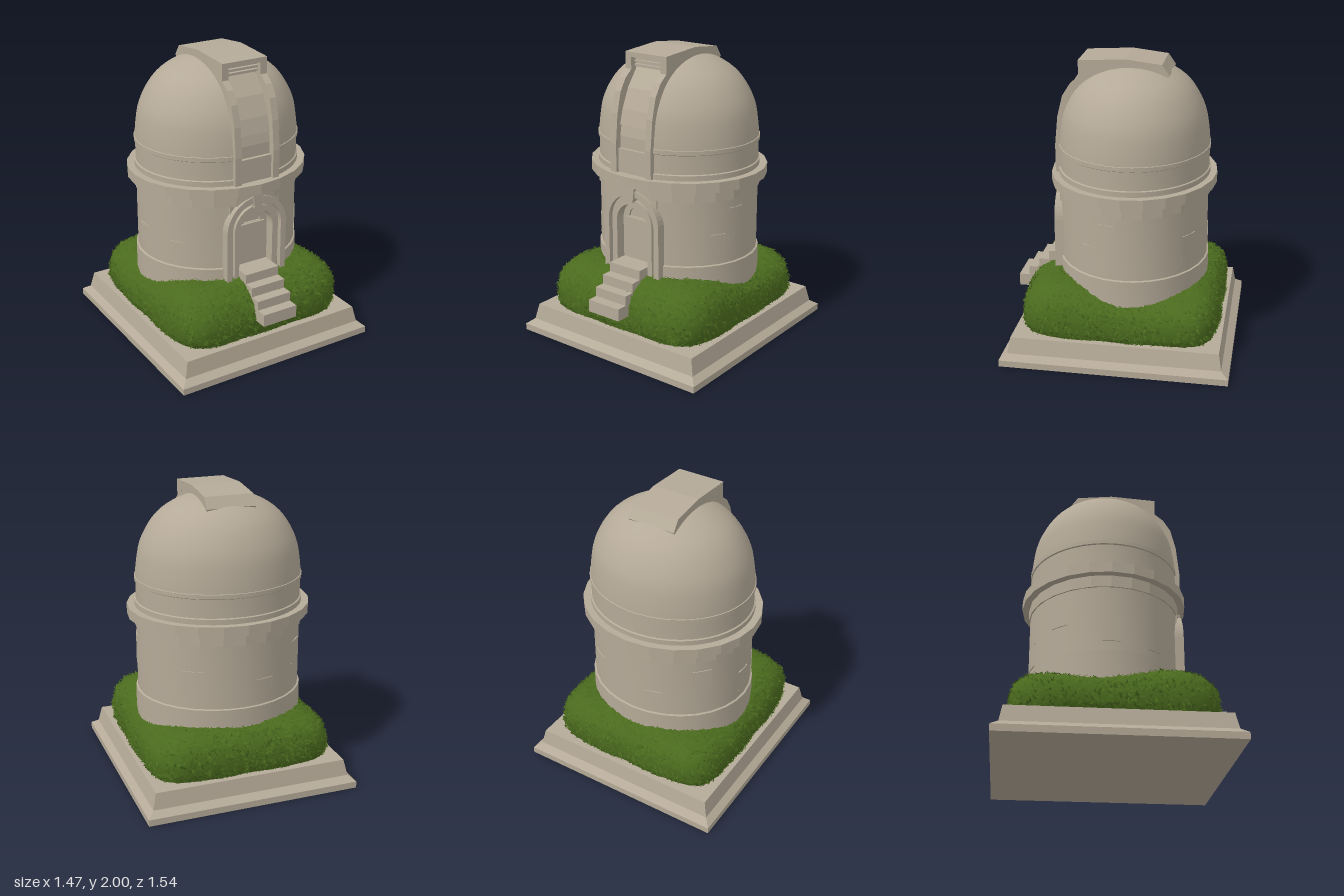
import * as THREE from 'three';
import { toCreasedNormals } from 'three/addons/utils/BufferGeometryUtils.js';

const stone = new THREE.MeshStandardMaterial({ color: 0xb5aa98, side: THREE.DoubleSide });
stone.name = 'stone';
const grass = new THREE.MeshStandardMaterial({ color: 0x4b6b1e, side: THREE.DoubleSide });
grass.name = 'grass';

function add(parent, name, geometry, material = stone) {
  const mesh = new THREE.Mesh(geometry, material);
  mesh.name = name;
  parent.add(mesh);
  return mesh;
}

function box(parent, name, x0, x1, y0, y1, z0, z1) {
  const g = new THREE.BoxGeometry(x1 - x0, y1 - y0, z1 - z0);
  g.translate((x0 + x1) / 2, (y0 + y1) / 2, (z0 + z1) / 2);
  return add(parent, name, g);
}

// Skin over closed rings of points, listed bottom to top, with both ends capped
function loft(rings, crease) {
  const n = rings[0].length, pos = [], idx = [];
  rings.forEach(r => r.forEach(p => pos.push(p.x, p.y, p.z)));
  for (let i = 0; i < rings.length - 1; i++) {
    for (let j = 0; j < n; j++) {
      const a = i * n + j, b = i * n + (j + 1) % n;
      idx.push(a, b, b + n, a, b + n, a + n);
    }
  }
  const top = (rings.length - 1) * n;
  for (let j = 1; j < n - 1; j++) idx.push(0, j + 1, j, top, top + j, top + j + 1);
  const g = new THREE.BufferGeometry();
  g.setAttribute('position', new THREE.Float32BufferAttribute(pos, 3));
  g.setIndex(idx);
  return toCreasedNormals(g, crease);
}

// Turned wall that leaves a front opening of constant half width
function turned(points, segments, gap = 0, crease = 0.5) {
  const g = new THREE.LatheGeometry(points.map(p => new THREE.Vector2(p[0], p[1])), segments);
  const pos = g.attributes.position, n = points.length;
  for (let k = 0; k < pos.count; k++) {
    const r = points[k % n][0];
    const open = gap ? Math.asin(Math.min(1, gap / Math.max(r, 1e-4))) : 0;
    const phi = open + Math.floor(k / n) / segments * 2 * (Math.PI - open);
    pos.setX(k, r * Math.sin(phi));
    pos.setZ(k, r * Math.cos(phi));
  }
  return toCreasedNormals(g, crease);
}

// Side profile in (z, y), given a width in x
function sideProfile(points, width, x = 0) {
  const shape = new THREE.Shape(points.map(p => new THREE.Vector2(p[0], p[1])));
  const g = new THREE.ExtrudeGeometry(shape, { depth: width, bevelEnabled: false });
  g.rotateY(-Math.PI / 2);
  return g.translate(x + width / 2, 0, 0);
}

function arch(path, w, y0, yc) {
  path.moveTo(-w, y0);
  path.lineTo(w, y0);
  path.lineTo(w, yc);
  path.absarc(0, yc, w, 0, Math.PI, false);
  path.lineTo(-w, y0);
  return path;
}

function archRing(outer, inner, y0, yc, z0, z1) {
  const shape = arch(new THREE.Shape(), outer, y0, yc);
  if (inner) shape.holes.push(arch(new THREE.Path(), inner, y0 + 0.001, yc));
  return new THREE.ExtrudeGeometry(shape, { depth: z1 - z0, bevelEnabled: false, curveSegments: 12 })
    .translate(0, 0, z0);
}

// Mound section: inset from the edge and height
const MOUND = [[0.03, 0.185], [0.01, 0.24], [0.01, 0.34], [0.03, 0.42], [0.075, 0.48], [0.15, 0.525], [0.24, 0.54], [0.36, 0.5]];
function moundPoint(a, t) {
  const i = Math.min(Math.floor(t), MOUND.length - 2), f = t - i;
  const inset = THREE.MathUtils.lerp(MOUND[i][0], MOUND[i + 1][0], f);
  const h = THREE.MathUtils.lerp(MOUND[i][1], MOUND[i + 1][1], f);
  const c = Math.cos(a), s = Math.sin(a);
  const r = Math.pow(c ** 6 + s ** 6, -1 / 6) + 0.008 * Math.sin(a * 11 + t);
  const x = (0.65 - inset) * r * c, z = -(0.68 - inset) * r * s;
  const swell = 0.9 + 0.1 * Math.cos((z - 0.45) * Math.PI / 0.65);
  return new THREE.Vector3(x, 0.185 + (h - 0.185) * swell, z);
}

function leaves(count) {
  let seed = 7;
  const rnd = () => (seed = (seed * 16807) % 2147483647) / 2147483647;
  const pos = [];
  for (let k = 0; k < count; k++) {
    const a = rnd() * Math.PI * 2, t = rnd() * 6.6;
    const p = moundPoint(a, t);
    const u = moundPoint(a + 0.01, t).sub(p).normalize();
    const v = moundPoint(a, t + 0.05).sub(p).normalize();
    const n = u.clone().cross(v).normalize();
    const w = rnd() * Math.PI * 2, size = 0.012 + rnd() * 0.012;
    const along = u.clone().multiplyScalar(Math.cos(w)).addScaledVector(v, Math.sin(w));
    const across = n.clone().cross(along).multiplyScalar(size * 0.45);
    const tip = p.clone().addScaledVector(along, size * 1.5).addScaledVector(n, 0.004 + rnd() * 0.014);
    p.addScaledVector(n, 0.002);
    for (const q of [p.clone().sub(across), tip, p.clone().add(across)].reverse()) {
      pos.push(q.x, Math.max(q.y, 0.19), q.z);
    }
  }
  const g = new THREE.BufferGeometry();
  g.setAttribute('position', new THREE.Float32BufferAttribute(pos, 3));
  g.computeVertexNormals();
  return g;
}

export function createModel() {
  const model = new THREE.Group();
  model.name = 'observatory';

  // Stepped plinth: half width, half depth, height
  const plinth = [[0.735, 0.77, 0], [0.735, 0.77, 0.045], [0.69, 0.72, 0.08], [0.665, 0.7, 0.19]];
  add(model, 'plinth', loft(plinth.map(([x, z, y]) =>
    [[1, 1], [1, -1], [-1, -1], [-1, 1]].map(([sx, sz]) => new THREE.Vector3(sx * x, y, sz * z))), 0.1));

  // Grassy mound with leaf tufts
  const rings = MOUND.map((_, t) => Array.from({ length: 72 }, (_, j) => moundPoint(j / 72 * Math.PI * 2, t)));
  add(model, 'mound', loft(rings, 0.9), grass);
  add(model, 'moundLeaves', leaves(6500), grass);

  // Slightly oval tower
  const tower = new THREE.Group();
  tower.name = 'tower';
  tower.scale.z = 0.9;
  tower.position.z = -0.04;
  model.add(tower);
  add(tower, 'drumWall', turned([[0.575, 0.36], [0.575, 0.615], [0.562, 0.62], [0.562, 1.07]], 28, 0.18));
  add(tower, 'corniceRing', turned([[0.5, 1.06], [0.573, 1.06], [0.573, 1.14], [0.625, 1.14],
    [0.625, 1.21], [0.36, 1.21]], 24, 0, 0.2));
  const curve = new THREE.SplineCurve([[0.564, 1.41], [0.555, 1.5], [0.532, 1.62], [0.48, 1.73], [0.41, 1.82],
    [0.31, 1.89], [0.17, 1.945], [0.001, 1.965]].map(p => new THREE.Vector2(...p)));
  add(tower, 'dome', turned([[0.572, 1.205], [0.572, 1.245], [0.562, 1.25], [0.562, 1.375], [0.57, 1.38],
    [0.57, 1.408], ...curve.getPoints(20).map(p => [p.x, p.y])], 48, 0.14));

  // Slightly raised wall stones: start angle, sweep, bottom, top
  [[1.0, 0.2, 0.66, 0.83], [1.25, 0.22, 0.8, 1.0], [2.4, 0.25, 0.72, 0.88], [3.3, 0.22, 0.64, 0.8],
    [3.9, 0.24, 0.82, 0.98], [4.6, 0.22, 0.68, 0.84], [5.2, 0.2, 0.66, 0.8]].forEach(([a, sweep, y0, y1]) => {
    const profile = [[0.555, y0], [0.567, y0], [0.567, y1], [0.555, y1]].map(p => new THREE.Vector2(...p));
    add(tower, 'wallStone', toCreasedNormals(new THREE.LatheGeometry(profile, 3, a, sweep), 0.5));
  });

  // Dome slit: side rails, hood, inner panels and slats
  const rail = [[0.31, 1.98], [0.31, 1.87], [0.37, 1.82], [0.42, 1.74], [0.455, 1.6], [0.475, 1.4],
    [0.475, 1.21], [0.38, 1.21], [0.38, 1.45], [0.33, 1.65], [0.24, 1.8], [0.2, 1.98]];
  for (const s of [-1, 1]) add(model, 'slitRail', sideProfile(rail, 0.048, s * 0.144));
  add(model, 'slitHood', sideProfile([[0.312, 1.982], [0, 2], [-0.24, 1.972], [-0.29, 1.9], [-0.25, 1.85],
    [0.26, 1.85], [0.26, 1.95], [0.312, 1.95]], 0.334));
  add(model, 'slitBacking', sideProfile([[0.43, 1.21], [0.43, 1.45], [0.4, 1.62], [0.34, 1.76], [0.25, 1.88],
    [0.2, 1.87], [0.3, 1.6], [0.35, 1.21]], 0.25));
  add(model, 'slitShutter', sideProfile([[0.445, 1.53], [0.418, 1.63], [0.36, 1.76], [0.27, 1.88],
    [0.24, 1.86], [0.38, 1.6], [0.4, 1.53]], 0.215));
  box(model, 'slitLowerPanel', -0.118, 0.118, 1.21, 1.37, 0.4, 0.455);
  for (const y of [1.89, 1.915, 1.94]) box(model, 'hoodSlat', -0.115, 0.115, y, y + 0.012, 0.25, 0.285);

  // Arched doorway
  const wall = new THREE.Shape([[-0.19, 0.4], [0.19, 0.4], [0.19, 1.07], [-0.19, 1.07]].map(p => new THREE.Vector2(...p)));
  wall.holes.push(arch(new THREE.Path(), 0.13, 0.45, 0.875));
  add(model, 'doorWall', new THREE.ExtrudeGeometry(wall, { depth: 0.075, bevelEnabled: false }).translate(0, 0, 0.37));
  add(model, 'doorOuterArch', archRing(0.23, 0.19, 0.5, 0.88, 0.38, 0.48));
  add(model, 'doorInnerArch', archRing(0.165, 0.13, 0.5, 0.875, 0.39, 0.468));
  add(model, 'door', archRing(0.14, 0, 0.45, 0.875, 0.37, 0.4));
  add(model, 'doorFanlight', archRing(0.09, 0.065, 0.9, 0.905, 0.39, 0.415));
  box(model, 'doorBar', -0.1, 0.1, 0.84, 0.89, 0.39, 0.415);
  const key = new THREE.Shape([[-0.027, 1.03], [0.027, 1.03], [0.042, 1.14], [-0.042, 1.14]].map(p => new THREE.Vector2(...p)));
  add(model, 'keystone', new THREE.ExtrudeGeometry(key, { depth: 0.1, bevelEnabled: false }).translate(0, 0, 0.393));

  // Front steps
  for (let i = 0; i < 4; i++) {
    const z1 = 0.77 - i * 0.073;
    box(model, 'step', -0.128, 0.128, 0.315, 0.4 + i * 0.065, i === 3 ? 0.37 : z1 - 0.073, z1);
  }
  return model;
}
